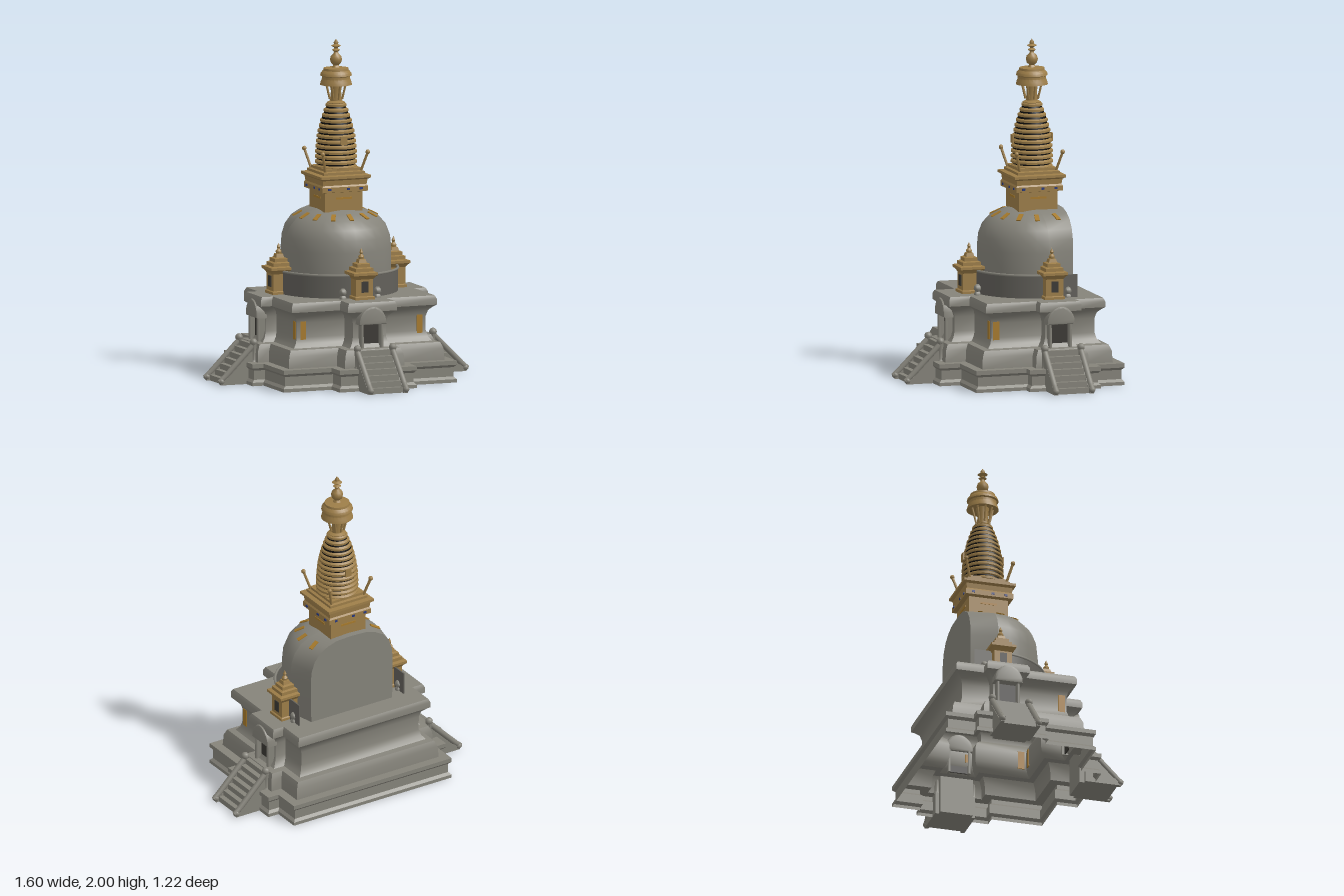
import * as THREE from 'three';
import { toCreasedNormals } from 'three/addons/utils/BufferGeometryUtils.js';

const mat = (name, color, side = THREE.FrontSide) => {
  const m = new THREE.MeshStandardMaterial({ color, side });
  m.name = name;
  return m;
};
const V2 = (p) => new THREE.Vector2(p[0], p[1]);
const CZ = -0.22; // z of the dome and spire axis

export function createModel() {
  const root = new THREE.Group();
  root.name = 'stupa';
  const stone = mat('stone', 0x85837a, THREE.DoubleSide);
  const darkStone = mat('darkStone', 0x62605a, THREE.DoubleSide);
  const gold = mat('gold', 0x9c7d48, THREE.DoubleSide);
  const paint = mat('goldPaint', 0xa67a2c, THREE.DoubleSide);
  const black = mat('black', 0x0c0b0a);
  const shade = mat('nicheShade', 0x3a3833);
  const blue = mat('bluePaint', 0x28397e);

  const add = (parent, name, geo, material, x = 0, y = 0, z = 0) => {
    const m = new THREE.Mesh(geo, material);
    m.name = name;
    m.position.set(x, y, z);
    parent.add(m);
    return m;
  };
  const group = (parent, name, x = 0, y = 0, z = 0, ry = 0) => {
    const g = new THREE.Group();
    g.name = name;
    g.position.set(x, y, z);
    g.rotation.y = ry;
    parent.add(g);
    return g;
  };
  const box = (w, h, d) => new THREE.BoxGeometry(w, h, d);
  const lathe = (pts, n = 24, crease = 0.6, a = 0, len = Math.PI * 2) =>
    toCreasedNormals(new THREE.LatheGeometry(pts.map(V2), n, a, len), crease);
  // square-plan moulding: profile rows are [half width, y]
  const squareLathe = (pts) => {
    const g = new THREE.LatheGeometry(pts.map(([w, y]) => new THREE.Vector2(w * Math.SQRT2, y)), 4, Math.PI / 4);
    return toCreasedNormals(g, 0.3);
  };
  const rod = (parent, name, a, b, r, material) => {
    const path = new THREE.LineCurve3(new THREE.Vector3(...a), new THREE.Vector3(...b));
    return add(parent, name, new THREE.TubeGeometry(path, 1, r, 8), material);
  };

  // ---- Stepped plinth: the plan outline inset by d, swept up a moulding profile
  const outline = (d) => {
    const half = [[0.55 - d, -0.61 + d], [0.55 - d, -0.44 + d], [0.62 - d, -0.44 + d], [0.62 - d, -d],
      [0.55 - d, -d], [0.55 - d, 0.31 - d], [0.245 - d, 0.31 - d], [0.245 - d, 0.435 - d]];
    return [...half, ...half.map(([x, z]) => [-x, z]).reverse()];
  };
  const rows = [[0, 0], [0, 0.02], [0.015, 0.035], [0.015, 0.09], [0, 0.105], [0, 0.13], [0.055, 0.13],
    [0.06, 0.2], [0.075, 0.235], [0.11, 0.24], [0.13, 0.265], [0.14, 0.3], [0.14, 0.385], [0.13, 0.42],
    [0.105, 0.445], [0.09, 0.455], [0.09, 0.49], [0.1, 0.51]];
  const pos = [];
  for (let r = 0; r < rows.length - 1; r++) {
    const a = outline(rows[r][0]), b = outline(rows[r + 1][0]);
    const y0 = rows[r][1], y1 = rows[r + 1][1];
    a.forEach((p, i) => {
      const j = (i + 1) % a.length, q = a[j], s = b[i], t = b[j];
      pos.push(p[0], y0, p[1], s[0], y1, s[1], q[0], y0, q[1]);
      pos.push(q[0], y0, q[1], s[0], y1, s[1], t[0], y1, t[1]);
    });
  }
  const shell = new THREE.BufferGeometry();
  shell.setAttribute('position', new THREE.Float32BufferAttribute(pos, 3));
  add(root, 'plinth', toCreasedNormals(shell, 0.6), stone);
  const deck = new THREE.ShapeGeometry(new THREE.Shape(outline(0.1).map(([x, z]) => new THREE.Vector2(x, -z))));
  add(root, 'deck', deck.rotateX(-Math.PI / 2), stone, 0, 0.51, 0);

  // painted ornaments on the plinth walls
  for (const s of [-1, 1]) {
    add(root, 'wallOrnament', box(0.035, 0.11, 0.006), paint, s * 0.37, 0.34, 0.171);
    add(root, 'wallOrnament', box(0.006, 0.11, 0.04), paint, s * 0.411, 0.34, 0.14);
    add(root, 'wallOrnament', box(0.006, 0.05, 0.025), paint, s * 0.481, 0.34, -0.17);
  }

  // ---- Stairs with portal, local +z pointing outwards from the plinth edge
  const sides = [[0, 0.435, 0], [0.62, CZ, Math.PI / 2], [-0.62, CZ, -Math.PI / 2]];
  for (const [x, z, ry] of sides) {
    const g = group(root, 'stairway', x, 0, z, ry);
    const n = 7;
    for (let i = 0; i < n; i++) {
      const z1 = 0.14 - i * 0.031;
      add(g, 'step', box(0.2, 0.033, z1 + 0.09), stone, 0, 0.0165 + i * 0.033, (z1 - 0.09) / 2);
    }
    const cheek = new THREE.Shape([[0.16, 0], [0.16, 0.025], [0.11, 0.045], [-0.06, 0.215], [-0.06, 0]].map(V2));
    for (const s of [-1, 1]) {
      const geo = new THREE.ExtrudeGeometry(cheek, { depth: 0.024, bevelEnabled: false });
      geo.translate(0, 0, -0.012).rotateY(-Math.PI / 2);
      add(g, 'stairCheek', geo, stone, s * 0.11, 0, 0);
      rod(g, 'handrail', [s * 0.112, 0.05, 0.13], [s * 0.112, 0.225, -0.045], 0.017, stone);
      rod(g, 'railFoot', [s * 0.112, 0.05, 0.13], [s * 0.112, 0.018, 0.168], 0.016, stone);
      add(g, 'railScroll', new THREE.SphereGeometry(0.02, 10, 8), stone, s * 0.112, 0.022, 0.155);
      add(g, 'newelPost', lathe([[0, 0.24], [0.02, 0.24], [0.016, 0.2], [0.016, 0.14], [0.02, 0.13]].reverse(), 10),
        stone, s * 0.112, 0, -0.05);
      add(g, 'newelBall', new THREE.SphereGeometry(0.023, 10, 8), stone, s * 0.112, 0.245, -0.05);
      add(g, 'portalColumn', new THREE.CylinderGeometry(0.009, 0.011, 0.16, 8), stone, s * 0.062, 0.32, -0.1);
      add(g, 'portalJamb', box(0.014, 0.16, 0.05), stone, s * 0.061, 0.32, -0.125);
    }
    // rounded hood over the doorway
    const hood = new THREE.Shape();
    hood.moveTo(-0.075, 0.39);
    hood.lineTo(0.075, 0.39);
    hood.bezierCurveTo(0.075, 0.44, 0.035, 0.475, 0, 0.475);
    hood.bezierCurveTo(-0.035, 0.475, -0.075, 0.44, -0.075, 0.39);
    add(g, 'portalHood', toCreasedNormals(new THREE.ExtrudeGeometry(hood,
      { depth: 0.05, bevelSize: 0.012, bevelThickness: 0.012, bevelSegments: 2, curveSegments: 8 }), 0.7),
      stone, 0, 0, -0.14);
    add(g, 'doorway', box(0.11, 0.15, 0.008), shade, 0, 0.318, -0.132);
  }

  // ---- Parapet round the dome: half ring with straight ends
  add(root, 'parapet', new THREE.CylinderGeometry(0.365, 0.365, 0.135, 32, 1, true, -Math.PI / 2, Math.PI),
    darkStone, 0, 0.5775, CZ);
  const coping = new THREE.TorusGeometry(0.365, 0.008, 6, 32, Math.PI).rotateX(Math.PI / 2);
  add(root, 'parapetCoping', coping, stone, 0, 0.645, CZ);
  for (const s of [-1, 1]) add(root, 'parapetEnd', box(0.008, 0.135, 0.16), darkStone, s * 0.365, 0.5775, CZ - 0.08);

  // ---- Dome: rounded front half, straight run to a flat back
  const domeProfile = [[0.32, 0.51], [0.325, 0.65], [0.325, 0.77], [0.318, 0.84], [0.295, 0.9], [0.25, 0.95],
    [0.19, 0.98], [0.12, 1.0], [0, 1.005]];
  add(root, 'domeFront', lathe(domeProfile, 14, 0.9, -Math.PI / 2, Math.PI), stone, 0, 0, CZ);
  const section = [...domeProfile, ...domeProfile.slice(0, -1).map(([x, y]) => [-x, y]).reverse()];
  const back = new THREE.ExtrudeGeometry(new THREE.Shape(section.map(V2)), { depth: 0.16, bevelEnabled: false });
  back.translate(0, 0, -0.16);
  const bp = back.attributes.position;
  for (let i = 0; i < bp.count; i++) if (bp.getZ(i) < -0.1) bp.setX(i, bp.getX(i) * 0.88);
  add(root, 'domeBack', toCreasedNormals(back, 0.7), stone, 0, 0, CZ);
  // painted petals on the dome shoulder
  for (let i = -4; i <= 4; i++) {
    const g = group(root, 'domePetal', 0, 0, CZ, i * 0.46);
    if (Math.abs(i) === 4) g.position.z -= 0.02;
    const petal = add(g, 'petal', box(0.026, 0.006, 0.062), paint, 0, 0.968, 0.222);
    petal.rotation.x = 0.46;
  }

  // ---- Small shrines and ball posts on the deck
  for (const [x, z, ry] of [[0, 0.17, 0], [0.365, CZ, Math.PI / 2], [-0.365, CZ, -Math.PI / 2]]) {
    const g = group(root, 'shrine', x, 0.51, z, ry);
    add(g, 'shrineBody', squareLathe([[0.062, 0], [0.062, 0.015], [0.054, 0.02], [0.054, 0.12], [0.064, 0.135],
      [0.076, 0.145], [0.076, 0.16], [0.055, 0.165], [0.055, 0.185], [0.04, 0.19], [0.04, 0.21], [0.025, 0.215],
      [0.02, 0.235], [0, 0.24]]), gold);
    add(g, 'shrineFinial', lathe([[0.016, 0.235], [0.018, 0.25], [0.007, 0.265], [0.011, 0.275], [0, 0.3]], 10), gold);
    add(g, 'shrineNiche', box(0.042, 0.065, 0.006), shade, 0, 0.075, 0.056);
  }
  for (const [x, z] of [[0.11, 0.155], [-0.11, 0.155], [0.365, -0.32], [-0.365, -0.32]]) {
    add(root, 'deckPost', lathe([[0.02, 0.51], [0.02, 0.52], [0.013, 0.53], [0.022, 0.545], [0.02, 0.56],
      [0.01, 0.572], [0, 0.575]], 12, 1), stone, x, 0, z);
  }

  // ---- Square neck and stepped crown
  const top = group(root, 'spire', 0, 0, CZ);
  add(top, 'neck', squareLathe([[0.12, 0.99], [0.12, 1.11]]), gold);
  add(top, 'crown', squareLathe([[0.12, 1.105], [0.145, 1.11], [0.145, 1.14], [0.138, 1.15], [0.142, 1.18],
    [0.158, 1.19], [0.158, 1.205], [0.13, 1.21], [0.13, 1.225], [0.115, 1.23], [0.115, 1.245], [0, 1.25]]), gold);
  for (let i = 0; i < 4; i++) {
    const face = group(top, 'crownFace', 0, 0, 0, i * Math.PI / 2);
    for (const x of [-0.1, 0.02, 0.1]) add(face, 'blueStud', box(0.018, 0.012, 0.006), blue, x, 1.127, 0.146);
    add(face, 'paintedBrow', box(0.1, 0.012, 0.004), paint, 0, 1.07, 0.121);
    // leaning corner poles with round tips
    rod(face, 'cornerPole', [0.105, 1.2, 0.105], [0.142, 1.335, 0.142], 0.008, gold);
    add(face, 'poleTip', new THREE.SphereGeometry(0.014, 8, 6), gold, 0.143, 1.34, 0.143);
  }

  // ---- Ringed spire: gold discs over a black core
  const radii = [0.123, 0.125, 0.125, 0.124, 0.122, 0.119, 0.115, 0.109, 0.102, 0.094, 0.084, 0.073, 0.062];
  const step = 0.0305;
  add(top, 'spireCore', lathe([[0.11, 1.23], [0.113, 1.35], [0.102, 1.45], [0.085, 1.53], [0.05, 1.62]], 24, 1), black);
  radii.forEach((r, i) => {
    const y = 1.235 + i * step;
    add(top, 'spireRing', lathe([[r - 0.028, y], [r, y + 0.002], [r, y + 0.014], [r - 0.012, y + 0.023],
      [r - 0.028, y + 0.024]], 24, 0.5), gold);
  });
  for (const z of [-1, 1]) add(top, 'spireBadge', box(0.04, 0.05, 0.008), gold, 0, 1.41, z * 0.122);

  // ---- Canopy on struts, and finial
  add(top, 'canopyStem', lathe([[0.05, 1.615], [0.055, 1.625], [0.035, 1.635], [0.03, 1.69], [0.04, 1.745]], 16), gold);
  for (let i = 0; i < 8; i++) {
    const a = i * Math.PI / 4, c = Math.cos(a), s = Math.sin(a);
    rod(top, 'canopyStrut', [c * 0.04, 1.645, s * 0.04], [c * 0.065, 1.745, s * 0.065], 0.006, gold);
  }
  add(top, 'canopy', lathe([[0, 1.745], [0.08, 1.735], [0.095, 1.73], [0.09, 1.75], [0.083, 1.765], [0.083, 1.78],
    [0.094, 1.785], [0.09, 1.8], [0.076, 1.815], [0.074, 1.828], [0.03, 1.832], [0, 1.833]], 24, 0.5), gold);
  add(top, 'finial', lathe([[0.025, 1.83], [0.016, 1.845], [0.03, 1.858], [0.036, 1.88], [0.03, 1.9], [0.014, 1.915],
    [0.012, 1.925], [0.024, 1.935], [0.01, 1.945], [0.012, 1.95], [0.03, 1.96], [0.012, 1.97], [0.014, 1.98],
    [0, 2.0]], 16, 0.9), gold);
  return root;
}
